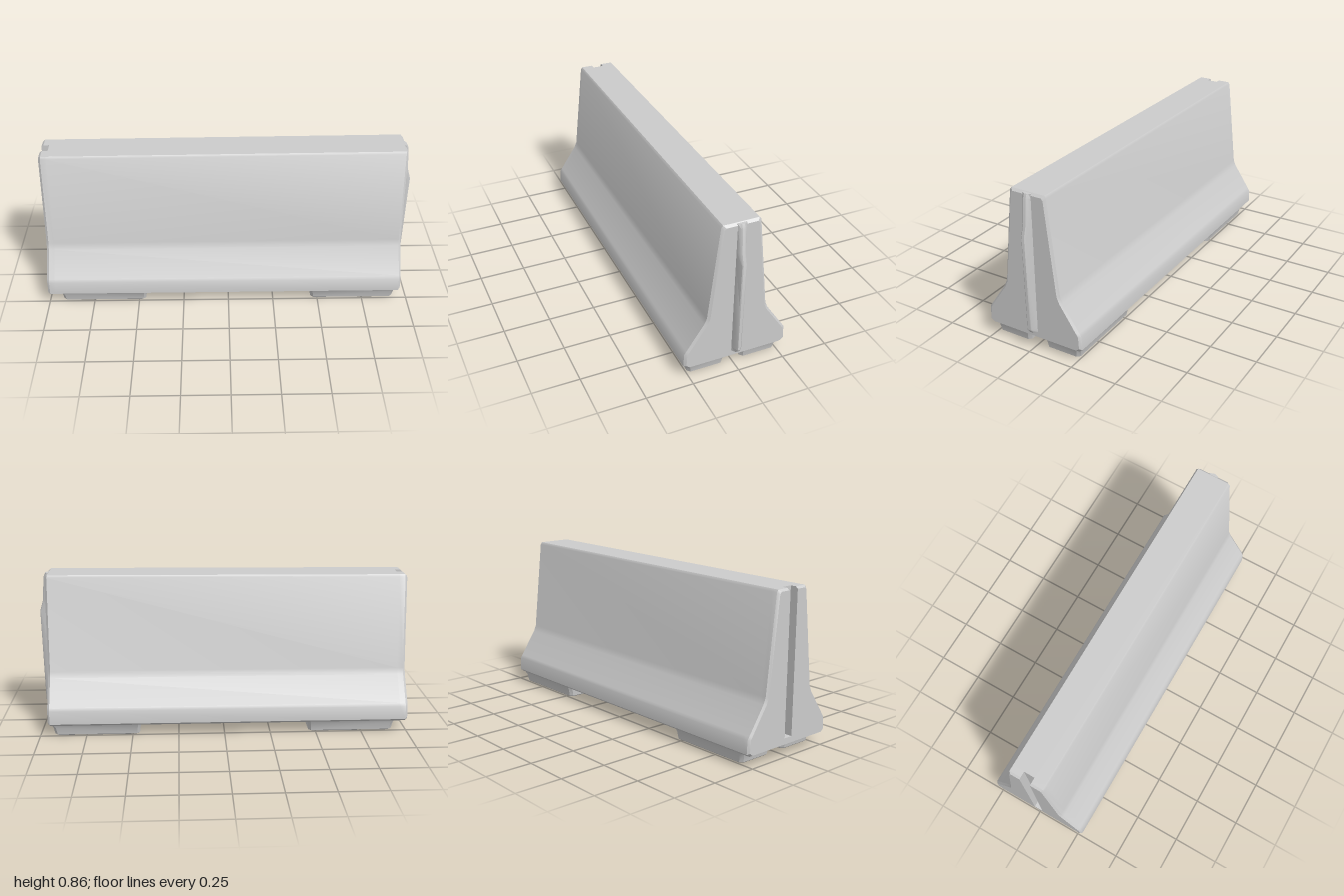
import * as THREE from 'three';
import { mergeVertices, toCreasedNormals } from 'three/addons/utils/BufferGeometryUtils.js';

const material = new THREE.MeshStandardMaterial({ color: 0xcccccc });

// Closed solid through rings of [x, y, z]; flat() gives the 2D outline used for the end caps
function loft(rings, flat, crease = 0.6) {
  const n = rings[0].length, index = [];
  for (let r = 0; r < rings.length - 1; r++) {
    for (let i = 0; i < n; i++) {
      const a = r * n + i, b = r * n + (i + 1) % n;
      index.push(a, b, a + n, b, b + n, a + n);
    }
  }
  const outline = rings[0].map(flat);
  const caps = THREE.ShapeUtils.triangulateShape(outline, []);
  const outlineLast = rings[rings.length - 1].map(flat);
  const capsLast = THREE.ShapeUtils.triangulateShape(outlineLast, []);
  const ccw = THREE.ShapeUtils.area(outline) > 0;
  const last = (rings.length - 1) * n;
  // Caps face away from the solid, opposite to one another
  const orient = ([a, b, c], pts, positive) => {
    const s = THREE.ShapeUtils.area([pts[a], pts[b], pts[c]]) > 0;
    return s === positive ? [a, b, c] : [a, c, b];
  };
  caps.forEach(t => index.push(...orient(t, outline, !ccw)));
  capsLast.forEach(t => index.push(...orient(t, outlineLast, ccw).map(i => i + last)));

  // Turn the solid right side out if its signed volume is negative
  const p = rings.flat().map(v => new THREE.Vector3(...v));
  let volume = 0;
  for (let i = 0; i < index.length; i += 3) {
    volume += p[index[i]].dot(p[index[i + 1]].clone().cross(p[index[i + 2]]));
  }
  if (volume < 0) index.reverse();
  const g = new THREE.BufferGeometry();
  g.setAttribute('position', new THREE.Float32BufferAttribute(rings.flat(2), 3));
  g.setIndex(index);
  return toCreasedNormals(mergeVertices(g), crease);
}

function add(group, name, geometry) {
  const mesh = new THREE.Mesh(geometry, material);
  mesh.name = name;
  group.add(mesh);
  return mesh;
}

// Barrier cross-section at x, eased in by inset, with the key slot open or closed
function section(x, inset, slotOpen) {
  const half = [
    [0.262, 0.062], [0.28, 0.076], [0.276, 0.148], [0.265, 0.165],
    [0.173, 0.302], [0.159, 0.335], [0.103, 0.838], [0.094, 0.85],
  ];
  const lean = y => y * (1 + 0.008 * x);
  const top = 0.85 - inset;
  const side = half.map(([z, y]) => [x, lean(y + (y > 0.8 ? -inset : y < 0.1 ? inset * 0.6 : 0)), z - inset]);
  const slot = [[0.03, top], [0.025, slotOpen ? 0.1 : top]].map(([z, y]) => [x, lean(y), z]);
  const points = [...side, ...slot];
  const mirrored = points.map(([a, b, c]) => [a, b, -c]).reverse();
  return [...points, ...mirrored];
}

// Rectangle with cut corners in the ground plane
function pad(y, x0, x1, z0, z1, c = 0.015) {
  return [
    [x0 + c, y, z0], [x1 - c, y, z0], [x1, y, z0 + c], [x1, y, z1 - c],
    [x1 - c, y, z1], [x0 + c, y, z1], [x0, y, z1 - c], [x0, y, z0 + c],
  ];
}

export function createModel() {
  const model = new THREE.Group();
  model.name = 'roadBarrier';
  const endOn = v => new THREE.Vector2(v[2], v[1]);
  const plan = v => new THREE.Vector2(v[0], v[2]);

  // Flared wall with eased ends and a slot in the right end
  add(model, 'barrierWall', loft([
    section(-1, 0.01, true), section(-0.988, 0, true),
    section(-0.957, 0, true), section(-0.957, 0, false),
    section(0.943, 0, false), section(0.955, 0.012, false),
  ], endOn));

  // Upright tongue on the left end, shallower towards its top
  const tongue = [
    [0.1, 0.975], [0.125, 0.994], [0.4, 0.997], [0.64, 1], [0.7, 0.982], [0.83, 0.972], [0.853, 0.962],
  ].map(([y, x]) => [
    [0.94, y, 0.024], [0.955, y, 0.024], [x - 0.004, y, 0.012], [x, y, 0.007],
    [x, y, -0.007], [x - 0.004, y, -0.012], [0.955, y, -0.024], [0.94, y, -0.024],
  ]);
  add(model, 'endTongue', loft(tongue, plan));

  // Two tapered feet under each end, joined by a shallow web
  for (const sx of [-1, 1]) {
    const feet = new THREE.Group();
    feet.name = sx > 0 ? 'leftFeet' : 'rightFeet';
    model.add(feet);
    const place = ([x, y, z], sz) => [sx * x, y, sz * z];
    for (const sz of [-1, 1]) {
      const rings = [
        pad(0, 0.47, 0.915, 0.056, 0.238), pad(0.006, 0.462, 0.922, 0.05, 0.244),
        pad(0.045, 0.458, 0.93, 0.045, 0.251), pad(0.075, 0.455, 0.945, 0.04, 0.268),
      ].map(r => r.map(v => place(v, sz)));
      add(feet, sz > 0 ? 'frontFoot' : 'backFoot', loft(rings, plan));
    }
    const web = [pad(0.037, 0.52, 0.86, -0.06, 0.06), pad(0.07, 0.48, 0.9, -0.06, 0.06)];
    add(feet, 'footWeb', loft(web.map(r => r.map(v => place(v, 1))), plan));
  }
  return model;
}
